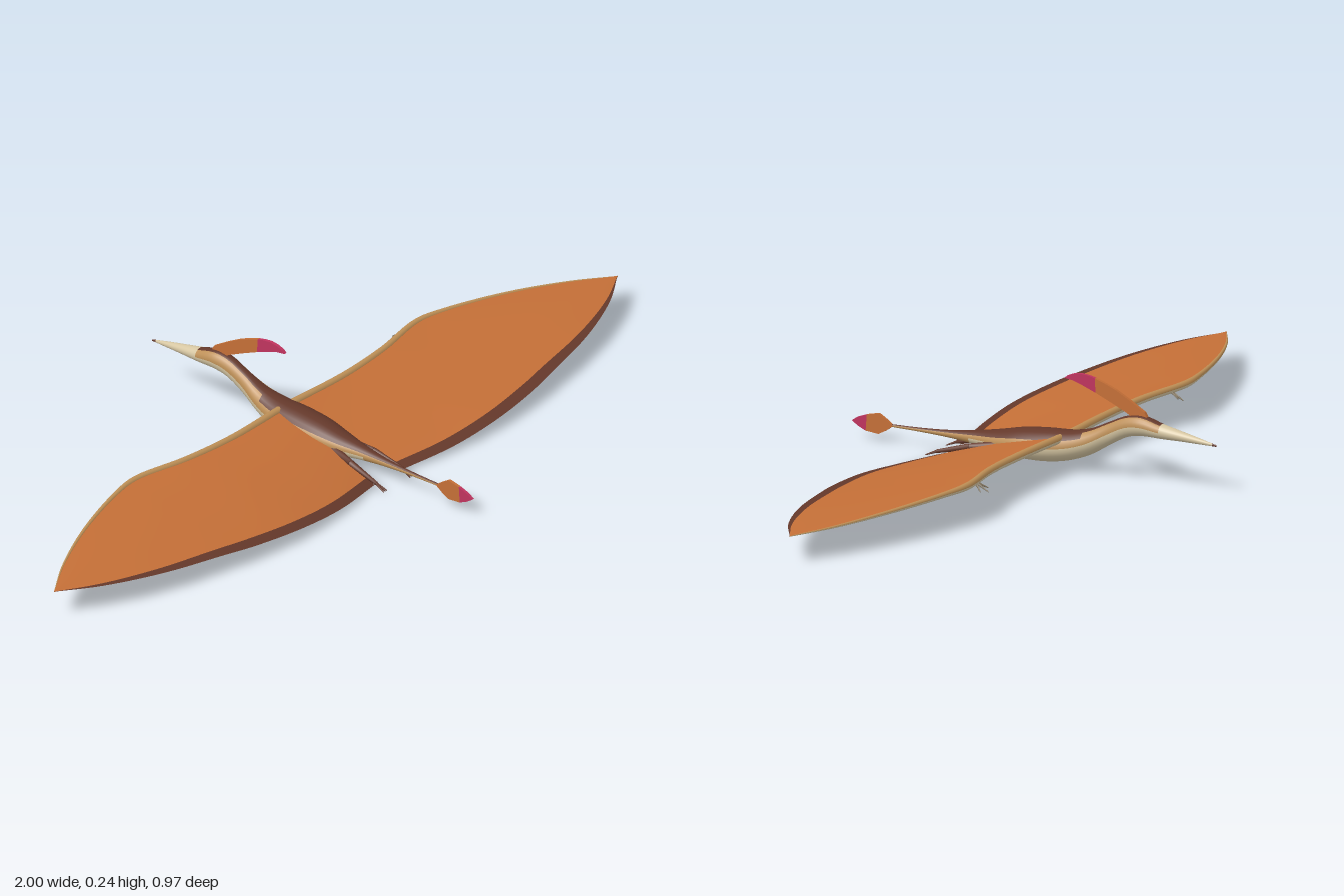
import * as THREE from 'three';

const V = (x, y, z) => new THREE.Vector3(x, y, z);

export function createModel() {
  const model = new THREE.Group();
  const mat = (name, color) => {
    const m = new THREE.MeshStandardMaterial({ color });
    m.name = name;
    return m;
  };
  const brown = mat('dark brown', 0x64382a);
  const tan = mat('tan', 0xbd8f56);
  const cream = mat('cream', 0xd6c6a2);
  const orange = mat('membrane orange', 0xc46f37);
  const pink = mat('pink', 0xc0345f);
  const claw = mat('claw grey', 0x857862);

  const add = (name, geo, material) => {
    const m = new THREE.Mesh(geo, material);
    m.name = name;
    model.add(m);
  };

  // Grid surface; pick(i, j) gives the material slot of each cell
  function grid(ni, nj, point, pick, slots, wrap = false) {
    const pos = [], lists = Array.from({ length: slots }, () => []);
    const cols = wrap ? nj : nj + 1;
    for (let i = 0; i <= ni; i++)
      for (let j = 0; j < cols; j++) pos.push(...point(i / ni, j / nj).toArray());
    for (let i = 0; i < ni; i++)
      for (let j = 0; j < nj; j++) {
        const k = (j + 1) % cols;
        const a = i * cols + j, b = a + cols, c = (i + 1) * cols + k, d = i * cols + k;
        lists[pick(i, j)].push(a, b, c, a, c, d);
      }
    const g = new THREE.BufferGeometry();
    g.setAttribute('position', new THREE.Float32BufferAttribute(pos, 3));
    g.setIndex(lists.flat());
    let start = 0;
    lists.forEach((l, n) => { g.addGroup(start, l.length, n); start += l.length; });
    g.computeVertexNormals();
    return g;
  }

  // Mirror an indexed geometry across x and restore its winding
  function mirror(geo) {
    const g = geo.clone().scale(-1, 1, 1), ix = g.index;
    for (let i = 0; i < ix.count; i += 3) {
      const t = ix.getX(i);
      ix.setX(i, ix.getX(i + 1));
      ix.setX(i + 1, t);
    }
    g.computeVertexNormals();
    return g;
  }
  function pair(name, geo, material) {
    add('left ' + name, geo, material);
    add('right ' + name, mirror(geo), material);
  }

  // Tapered rod between two points
  function rod(a, b, r0, r1, sides = 8) {
    const d = b.clone().sub(a);
    const g = new THREE.CylinderGeometry(r1, r0, d.length(), sides);
    g.applyQuaternion(new THREE.Quaternion().setFromUnitVectors(V(0, 1, 0), d.clone().normalize()));
    const c = a.clone().add(b).multiplyScalar(0.5);
    return g.translate(c.x, c.y, c.z);
  }

  // Body from beak to tail: z, top, bottom, half width
  const sections = [
    [-0.485, 0.12, 0.116, 0.001], [-0.44, 0.13, 0.116, 0.007], [-0.39, 0.14, 0.116, 0.013],
    [-0.34, 0.15, 0.115, 0.019], [-0.29, 0.163, 0.115, 0.023], [-0.25, 0.158, 0.107, 0.021],
    [-0.2, 0.136, 0.08, 0.021], [-0.15, 0.113, 0.05, 0.031], [-0.1, 0.102, 0.031, 0.041],
    [-0.04, 0.098, 0.02, 0.047], [0.03, 0.09, 0.018, 0.045], [0.09, 0.077, 0.023, 0.034],
    [0.15, 0.066, 0.031, 0.02], [0.22, 0.056, 0.037, 0.01], [0.3, 0.05, 0.04, 0.005],
    [0.39, 0.047, 0.041, 0.003],
  ];
  const profile = new THREE.CatmullRomCurve3(sections.map(s => V(s[0], s[1], s[2])));
  const widths = new THREE.CatmullRomCurve3(sections.map(s => V(s[0], s[3], 0)));
  const bodyPoint = (u, v) => {
    const p = profile.getPoint(u), w = widths.getPoint(u).y, a = v * Math.PI * 2;
    return V(Math.sin(a) * w, (p.y + p.z) / 2 + Math.cos(a) * (p.y - p.z) / 2, p.x);
  };
  const bodyColor = (i, j) => {
    const z = profile.getPoint((i + 0.5) / 60).x;
    const ang = Math.abs(((j + 0.5) * 15 + 180) % 360 - 180);
    if (z < -0.475) return 0;
    if (z < -0.34) return 2;
    if (ang < (z < -0.14 ? 30 : 60)) return 0;
    return ang < 90 || z > 0.16 ? 1 : 2;
  };
  add('body', grid(60, 24, bodyPoint, bodyColor, 3, true), [brown, tan, cream]);

  // Wings: matching points along the leading and trailing edges
  const lead = new THREE.CatmullRomCurve3([
    V(0.015, 0.09, -0.09), V(0.2, 0.09, -0.083), V(0.35, 0.093, -0.092), V(0.5, 0.095, -0.117),
    V(0.58, 0.093, -0.105), V(0.75, 0.085, -0.055), V(0.9, 0.075, 0.01), V(1, 0.068, 0.07)]);
  const trail = new THREE.CatmullRomCurve3([
    V(0.047, 0.009, 0.227), V(0.2, 0.018, 0.255), V(0.35, 0.031, 0.262), V(0.5, 0.042, 0.247),
    V(0.58, 0.048, 0.231), V(0.75, 0.057, 0.191), V(0.9, 0.064, 0.132), V(1, 0.068, 0.07)]);
  const wing = (u, v, side) => {
    const p = lead.getPoint(u).lerp(trail.getPoint(u), v);
    p.y += Math.sin(Math.PI * v) * (0.004 * (1 - u) + side * 0.0015);
    return p;
  };
  pair('wing top', grid(12, 42, (v, u) => wing(u, v, 1), i => (i === 11 ? 1 : 0), 2), [orange, brown]);
  pair('wing underside', grid(42, 12, (u, v) => wing(u, v, -1), (i, j) => (j === 11 ? 1 : 0), 2), [orange, brown]);

  // Arm and long wing finger along the leading edge
  const armPoint = (u, v) => {
    const p = lead.getPoint(u), a = v * Math.PI * 2;
    const r = u < 0.43 ? 0.0105 - 0.004 * u : 0.0088 - 0.0135 * (u - 0.43);
    return V(p.x, p.y - r * 0.5 + r * Math.cos(a), p.z + r * 0.7 - r * Math.sin(a));
  };
  pair('wing arm', grid(42, 12, armPoint, (i, j) => (j < 3 || j > 8 ? 0 : 1), 2, true), [tan, cream]);

  // Small wrist claws
  [[0.434, 0.074, -0.13], [0.446, 0.068, -0.137], [0.457, 0.068, -0.122]].forEach((t, n) =>
    pair('wrist claw ' + (n + 1), rod(V(0.447, 0.087, -0.103), V(...t), 0.004, 0.0012, 6), claw));

  // Trailing legs and toes
  const knee = V(0.04, 0.036, 0.15), ankle = V(0.047, 0.015, 0.233);
  pair('thigh', rod(V(0.022, 0.047, 0.065), knee, 0.012, 0.008), brown);
  pair('shin', rod(knee, ankle, 0.008, 0.0045), brown);
  [-0.006, 0, 0.006].forEach((dx, n) =>
    pair('toe ' + (n + 1), rod(ankle, V(0.047 + dx, 0.004, 0.26), 0.0037, 0.0012, 6), brown));

  // Flat upright plates in the z-y plane
  function plate(points, thick) {
    const s = new THREE.Shape(points.map(p => new THREE.Vector2(p[0], p[1])));
    const g = new THREE.ExtrudeGeometry(s, { depth: thick, bevelEnabled: false });
    return g.rotateY(-Math.PI / 2).translate(thick / 2, 0, 0);
  }
  // Head crest
  add('crest', plate([[-0.305, 0.155], [-0.265, 0.155], [-0.245, 0.166], [-0.205, 0.184], [-0.165, 0.201],
    [-0.163, 0.235], [-0.19, 0.226], [-0.218, 0.215], [-0.256, 0.195], [-0.295, 0.172]], 0.008), orange);
  add('crest tip', plate([[-0.165, 0.201], [-0.13, 0.214], [-0.105, 0.222], [-0.082, 0.225],
    [-0.09, 0.232], [-0.105, 0.238], [-0.125, 0.241], [-0.145, 0.239], [-0.163, 0.235]], 0.008), pink);
  // Tail vane
  add('tail vane', plate([[0.375, 0.044], [0.395, 0.03], [0.414, 0.02], [0.448, 0.023],
    [0.445, 0.062], [0.414, 0.069], [0.395, 0.058]], 0.007), orange);
  add('tail vane tip', plate([[0.448, 0.023], [0.47, 0.033], [0.485, 0.043],
    [0.47, 0.053], [0.445, 0.062]], 0.007), pink);

  return model;
}
